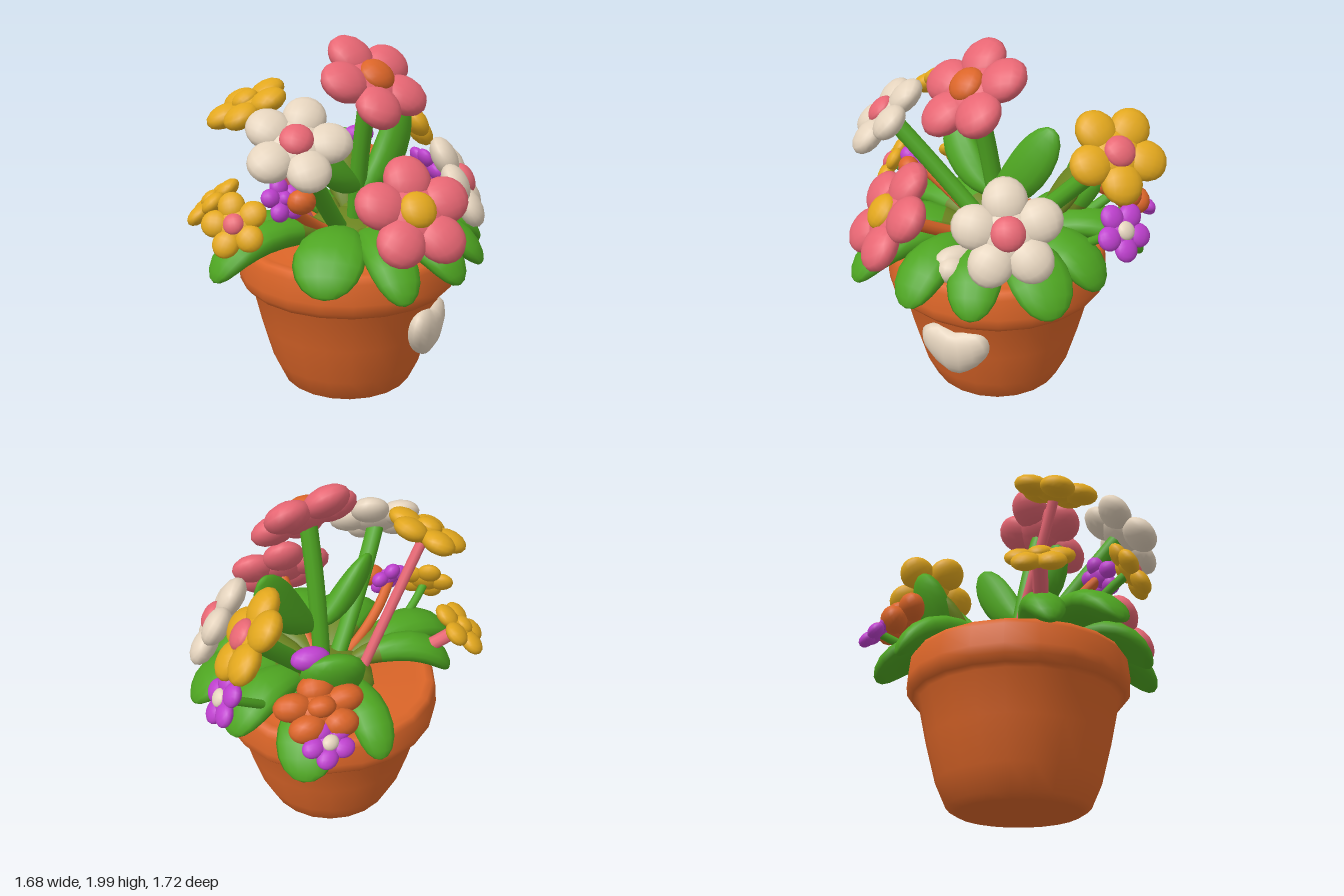
import * as THREE from 'three';
import { mergeVertices } from 'three/addons/utils/BufferGeometryUtils.js';

const material = (name, color) => {
  const m = new THREE.MeshStandardMaterial({ color });
  m.name = name;
  return m;
};
const V = (p) => new THREE.Vector3(...p);

// Smooth sphere whose vertices are moved by a rule (poles on y)
const shapedBall = (rule) => {
  let g = new THREE.SphereGeometry(1, 14, 12);
  g.deleteAttribute('uv');
  g.deleteAttribute('normal');
  g = mergeVertices(g, 1e-4);
  const p = g.attributes.position;
  for (let i = 0; i < p.count; i++) {
    const v = rule(p.getX(i), p.getY(i), p.getZ(i));
    p.setXYZ(i, v.x, v.y, v.z);
  }
  g.computeVertexNormals();
  return g;
};

export function createModel() {
  const model = new THREE.Group();
  model.name = 'flowerPot';
  const terracotta = material('terracotta', 0xdb6528);
  const green = material('leafGreen', 0x4ea521);
  const olive = material('olive', 0x6c8420);
  const pink = material('pink', 0xe76673);
  const yellow = material('yellow', 0xe2a71d);
  const white = material('cream', 0xe4d3bd);
  const purple = material('purple', 0xbe40ce);

  const add = (name, geometry, mat, parent = model) => {
    const mesh = new THREE.Mesh(geometry, mat);
    mesh.name = name;
    parent.add(mesh);
    return mesh;
  };
  const ball = (name, mat, pos, scale, parent = model) => {
    const mesh = add(name, new THREE.SphereGeometry(1, 14, 10), mat, parent);
    mesh.position.set(...pos);
    mesh.scale.set(...scale);
    return mesh;
  };

  // Pot with thick rolled rim and filled inside
  const profile = [[0, 0], [0.33, 0], [0.38, 0.03], [0.44, 0.16], [0.5, 0.38], [0.55, 0.6],
    [0.585, 0.615], [0.615, 0.65], [0.62, 0.7], [0.61, 0.81], [0.59, 0.845], [0.55, 0.85],
    [0.5, 0.835], [0.25, 0.87], [0, 0.9]].map(([r, y]) => new THREE.Vector2(r, y));
  const pot = add('pot', new THREE.LatheGeometry(profile, 22), terracotta);
  pot.position.set(0.045, 0, -0.01);

  // Leafy mound at the root of the plants
  ball('plantBase', olive, [0.1, 0.86, -0.08], [0.29, 0.13, 0.29]);

  // Puffy heart on the side of the pot
  const heart = add('heart', shapedBall((x, y, z) =>
    V([x * 0.195, 0.145 * (y + 0.6 * Math.abs(x)), z * 0.085])), white);
  heart.rotation.set(0.14, Math.PI / 4, 0, 'YXZ');
  heart.position.set(0.365, 0.395, 0.38);

  // Puffy leaf swept along a bent line, widest toward its tip, olive at its root
  const leaf = (name, base, mid, tip, width, thick, rootMat = olive, mat = green, facing = [0, 1, 0]) => {
    const curve = new THREE.QuadraticBezierCurve3(V(base), V(mid), V(tip));
    const g = shapedBall((x, y, z) => {
      const t = (y + 1) / 2;
      const tangent = curve.getTangent(t);
      const side = tangent.clone().cross(V(facing)).normalize();
      return curve.getPoint(t)
        .addScaledVector(side, x * width * (0.55 + 0.65 * t))
        .addScaledVector(side.clone().cross(tangent), z * thick);
    });
    const split = 210 * 3;
    g.addGroup(0, split, 0);
    g.addGroup(split, g.index.count - split, 1);
    add(name, g, [mat, rootMat]);
  };

  // Low ring of leaves drooping over the rim: tip x, tip z, half width
  [[0.05, 0.83, 0.14], [0.42, 0.67, 0.15], [0.67, 0.43, 0.15], [0.83, 0.06, 0.18],
    [0.68, -0.3, 0.16], [0.4, -0.75, 0.18], [-0.03, -0.71, 0.12], [-0.77, 0.24, 0.15],
    [-0.3, 0.64, 0.2], [-0.66, -0.08, 0.12]].forEach(([x, z, w]) =>
    leaf('rimLeaf', [0.05 + x * 0.12, 0.88, z * 0.12], [x * 0.75, 1.1, z * 0.75], [x, 0.78, z], w, 0.08));

  // Upright leaves
  leaf('upperLeaf', [0.1, 1.14, 0.05], [0.3, 1.24, 0], [0.43, 1.61, -0.14], 0.13, 0.07, green, green, [0.6, 0.35, 0.72]);
  leaf('upperLeaf', [0.1, 1.16, 0.03], [-0.08, 1.22, 0.12], [-0.23, 1.5, 0.14], 0.11, 0.07, green, green, [0.45, 0.5, 0.74]);
  leaf('backLeaf', [0.16, 0.94, -0.38], [0.17, 1.2, -0.48], [0.18, 1.37, -0.58], 0.18, 0.09);
  leaf('innerLeaf', [0.13, 0.88, -0.22], [0.15, 1.12, -0.38], [0.17, 1.27, -0.48], 0.13, 0.06, olive, olive);
  ball('purpleBud', purple, [0.28, 1.34, -0.49], [0.1, 0.06, 0.06]);

  // Five-petal flower facing along n, with a bent stem from root
  const flower = (name, c, n, R, petalMat, coreMat, roll, root, stemMat = green, stemR = 0.04) => {
    const f = new THREE.Group();
    f.name = name;
    f.position.set(...c);
    f.lookAt(V(c).add(V(n)));
    f.rotateZ(roll);
    for (let i = 0; i < 5; i++) {
      const a = Math.PI / 2 + (i * Math.PI * 2) / 5;
      const petal = ball('petal', petalMat, [Math.cos(a) * R * 0.59, Math.sin(a) * R * 0.59, 0],
        [R * 0.44, R * 0.41, R * 0.25], f);
      petal.rotation.z = a;
    }
    ball('flowerBase', petalMat, [0, 0, -R * 0.02], [R * 0.55, R * 0.55, R * 0.24], f);
    ball('flowerCentre', coreMat, [0, 0, R * 0.15], [R * 0.32, R * 0.32, R * 0.19], f);
    model.add(f);
    const dir = V(n).normalize();
    const end = V(c).addScaledVector(dir, -R * 0.12);
    const mid = V(root).lerp(end, 0.6).addScaledVector(dir, -0.06);
    const path = new THREE.QuadraticBezierCurve3(V(root), mid, end);
    add(name + 'Stem', new THREE.TubeGeometry(path, 10, stemR, 10), stemMat);
    return f;
  };

  // Large flowers
  flower('topPinkFlower', [0.12, 1.765, 0.17], [0.22, 0.72, 0.62], 0.305, pink, terracotta, 0.25, [0.09, 0.88, -0.02], green, 0.05);
  flower('frontPinkFlower', [0.165, 1.185, 0.65], [0, 0.6, 0.78], 0.3, pink, yellow, 0, [0.1, 0.9, 0.1], terracotta, 0.035);
  flower('leftWhiteFlower', [-0.38, 1.53, 0.47], [-0.15, 0.7, 0.68], 0.265, white, pink, -0.3, [0, 0.9, 0.02], green, 0.05);
  flower('rightWhiteFlower', [0.62, 1.19, 0.2], [0.77, 0.48, 0.36], 0.275, white, pink, 0.1, [0.15, 0.9, 0], terracotta, 0.035);
  flower('rightYellowFlower', [0.56, 1.48, -0.43], [0.78, 0.6, 0.12], 0.26, yellow, pink, 0.6, [0.1, 0.9, -0.1], green, 0.05);
  flower('leftYellowFlower', [-0.51, 1.65, 0.02], [-0.43, 0.88, 0.04], 0.23, yellow, yellow, 0.3, [-0.12, 0.88, -0.09], pink, 0.03);

  // Small flowers
  flower('lowYellowFlower', [-0.67, 1.12, 0.36], [-0.4, 0.5, 0.72], 0.17, yellow, pink, 0.3, [-0.45, 0.95, 0.2], green, 0.025);
  flower('sideYellowFlower', [-0.69, 1.1, -0.14], [-0.6, 0.75, -0.25], 0.18, yellow, yellow, 0, [-0.48, 0.93, -0.06], pink, 0.04);
  flower('backOrangeFlower', [0.275, 1.14, -0.64], [0, 0.77, -0.6], 0.23, terracotta, terracotta, 0, [0.2, 0.92, -0.3], green, 0.03)
    .scale.set(1, 0.75, 1.4);
  flower('backPurpleFlower', [0.27, 1.04, -0.78], [-0.08, 0.72, -0.68], 0.14, purple, white, 0.3, [0.25, 0.95, -0.5], green, 0.025)
    .scale.set(1, 0.85, 1.1);
  flower('sidePurpleFlower', [0.71, 1.12, -0.4], [0.85, 0.5, -0.08], 0.155, purple, white, 0.5, [0.45, 0.93, -0.3], green, 0.025);
  flower('innerPurpleFlower', [-0.41, 1.21, 0.31], [0.3, 0.5, 0.8], 0.12, purple, purple, 0, [-0.08, 0.92, 0.05], terracotta, 0.03)
    .scale.set(1, 1, 1.4);
  ball('innerOrangeBud', terracotta, [-0.33, 1.21, 0.37], [0.075, 0.065, 0.06]);

  // White bud tucked among the front leaves
  ball('whiteBud', white, [0.385, 0.96, 0.38], [0.075, 0.09, 0.13]);
  ball('whiteBud', white, [0.43, 0.95, 0.42], [0.075, 0.07, 0.08]);

  return model;
}
